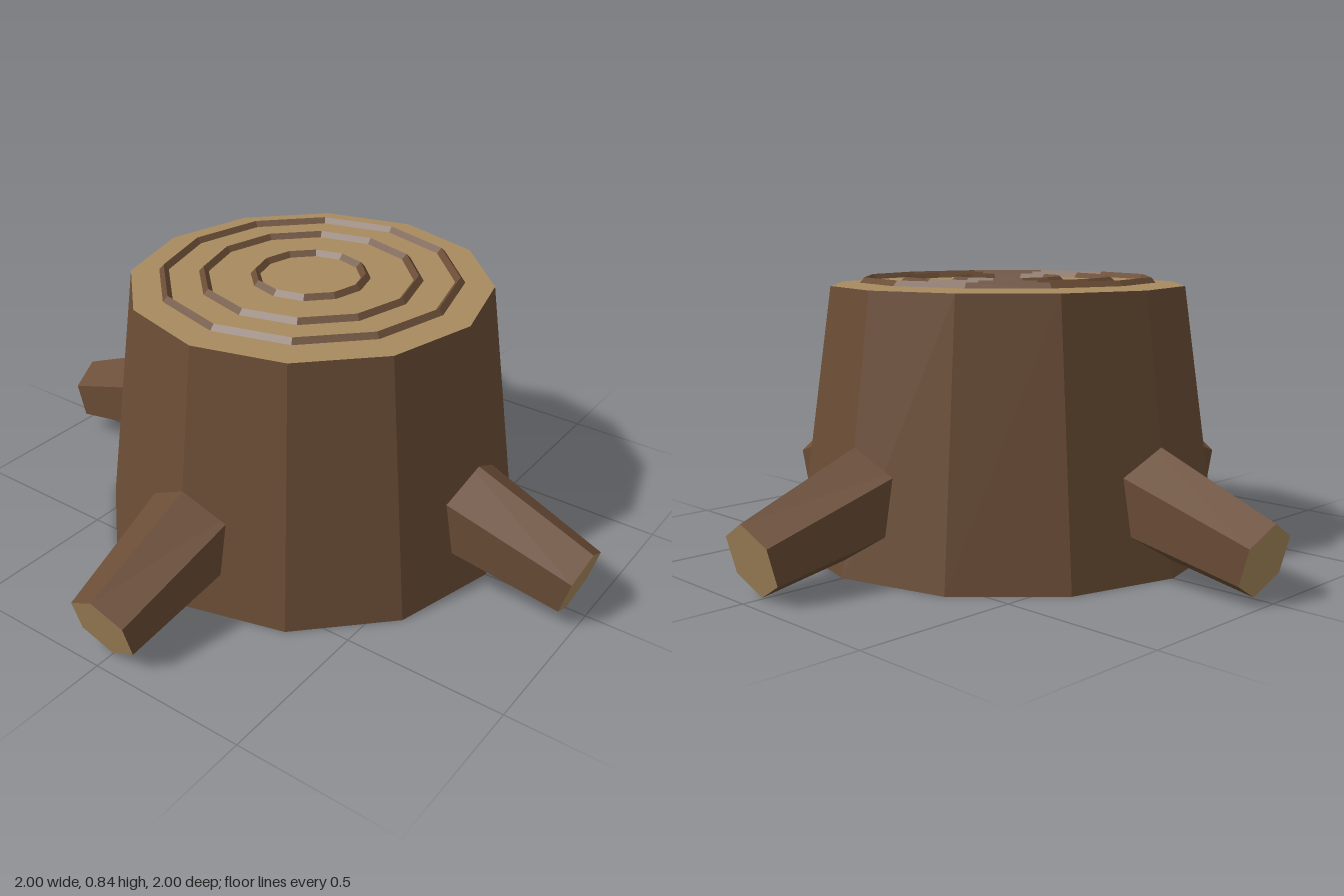
import * as THREE from 'three';

export function createModel() {
  const model = new THREE.Group();
  model.name = 'treeStump';

  const bark = new THREE.MeshStandardMaterial({ color: 0x6b4d36, flatShading: true });
  bark.name = 'bark';
  const wood = new THREE.MeshStandardMaterial({ color: 0xa88a5e, flatShading: true });
  wood.name = 'cut wood';
  // Open ring strips show from both sides
  const ringBark = bark.clone();
  ringBark.name = 'ring bark';
  ringBark.side = THREE.DoubleSide;

  // Tapered twelve-sided trunk with cut wood at both ends
  const trunk = new THREE.Mesh(new THREE.CylinderGeometry(0.555, 0.668, 0.815, 12), [bark, wood, wood]);
  trunk.name = 'trunk';
  trunk.position.y = 0.4075;
  model.add(trunk);

  // Growth rings: thin ridged strips just above the cut face
  [0.451, 0.327, 0.168].forEach((radius, i) => {
    const profile = [
      new THREE.Vector2(radius + 0.015, 0.824),
      new THREE.Vector2(radius, 0.84),
      new THREE.Vector2(radius - 0.015, 0.824),
    ];
    const ring = new THREE.Mesh(new THREE.LatheGeometry(profile, 12), ringBark);
    ring.name = `growthRing${i + 1}`;
    model.add(ring);
  });

  // Four six-sided roots sloping down and outward, tips cut flat
  const length = 0.5;
  const tilt = 0.278;
  const rootGeometry = new THREE.CylinderGeometry(0.112, 0.165, length, 6);
  rootGeometry.translate(0, -length / 2, 0); // origin at the tip
  rootGeometry.rotateX(Math.PI / 2 + tilt);
  rootGeometry.translate(0, 0.111, 0.969);
  ['front', 'left', 'back', 'right'].forEach((side, i) => {
    const root = new THREE.Mesh(rootGeometry, [bark, wood, bark]);
    root.name = `${side}Root`;
    root.rotation.y = (i * Math.PI) / 2;
    model.add(root);
  });

  return model;
}
